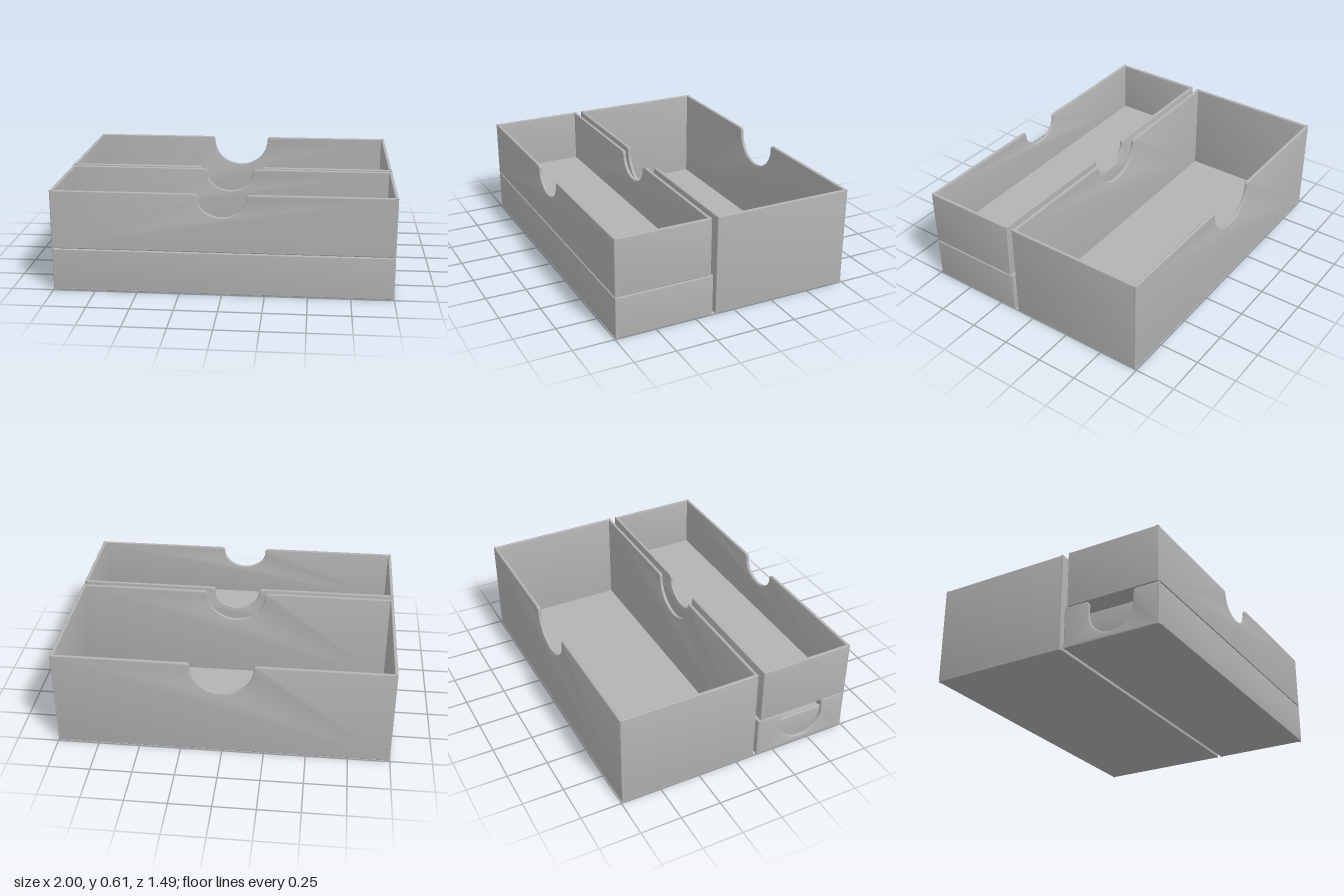
import * as THREE from 'three';
import { toCreasedNormals } from 'three/addons/utils/BufferGeometryUtils.js';
import { RoundedBoxGeometry } from 'three/addons/geometries/RoundedBoxGeometry.js';

const T = 0.02;   // wall thickness
const B = 0.007;  // edge rounding

// Upright panel centred on x and z, with an optional finger notch in its top edge
function panelGeometry(w, h, notch) {
  const s = new THREE.Shape();
  s.moveTo(-w / 2, 0);
  s.lineTo(w / 2, 0);
  s.lineTo(w / 2, h);
  if (notch) {
    const { r, d } = notch, f = 0.025;
    const ry = Math.min(r, d - f), cy = h - d + ry;
    s.lineTo(r + f, h);
    s.quadraticCurveTo(r, h, r, h - f);
    if (cy < h - f - 0.001) s.lineTo(r, cy);
    s.absellipse(0, cy, r, ry, 0, -Math.PI, true);
    if (cy < h - f - 0.001) s.lineTo(-r, h - f);
    s.quadraticCurveTo(-r, h, -r - f, h);
  }
  s.lineTo(-w / 2, h);
  s.closePath();
  const g = new THREE.ExtrudeGeometry(s, {
    depth: T - 2 * B, bevelEnabled: true, bevelThickness: B, bevelSize: B,
    bevelOffset: -B, bevelSegments: 3, curveSegments: 24,
  });
  g.translate(0, 0, -(T - 2 * B) / 2);
  return toCreasedNormals(g, 0.6);
}

// Open tray: floor plus four walls; notches are given per wall
function tray(name, material, { x = 1, z0, z1, y0, y1, notches = {} }) {
  const group = new THREE.Group();
  group.name = name;
  const depth = z1 - z0, h = y1 - y0;
  group.position.set(0, y0, (z0 + z1) / 2);

  const add = (part, geometry, px, py, pz, ry = 0) => {
    const m = new THREE.Mesh(geometry, material);
    m.name = part;
    m.position.set(px, py, pz);
    m.rotation.y = ry;
    group.add(m);
  };
  add('floor', new RoundedBoxGeometry(2 * x, T, depth, 3, B), 0, T / 2, 0);
  add('frontWall', panelGeometry(2 * x, h, notches.front), 0, 0, depth / 2 - T / 2);
  add('backWall', panelGeometry(2 * x, h, notches.back), 0, 0, -depth / 2 + T / 2);
  add('leftWall', panelGeometry(depth, h, notches.left), x - T / 2, 0, 0, Math.PI / 2);
  add('rightWall', panelGeometry(depth, h, notches.right), -x + T / 2, 0, 0, Math.PI / 2);
  return group;
}

export function createModel() {
  const grey = new THREE.MeshStandardMaterial({ color: 0xb3b3b3 });
  grey.name = 'grey';
  const model = new THREE.Group();
  model.name = 'stackedTrays';

  const large = { r: 0.185, d: 0.195 };
  const small = { r: 0.14, d: 0.138 };
  const deep = { r: 0.14, d: 0.22 };

  model.add(
    tray('largeBackTray', grey, {
      z0: -0.745, z1: 0.12, y0: 0, y1: 0.61, notches: { front: large, back: large },
    }),
    tray('upperFrontTray', grey, {
      z0: 0.155, z1: 0.745, y0: 0.258, y1: 0.61, notches: { front: small, back: small },
    }),
    // Low tray with a deep pull notch in one end
    tray('lowerFrontTray', grey, {
      z0: 0.14, z1: 0.745, y0: 0, y1: 0.255, notches: { right: deep },
    }),
    // Shallow insert seen through the pull notch
    tray('innerTray', grey, { x: 0.977, z0: 0.163, z1: 0.722, y0: 0.021, y1: 0.19 }),
  );
  return model;
}
